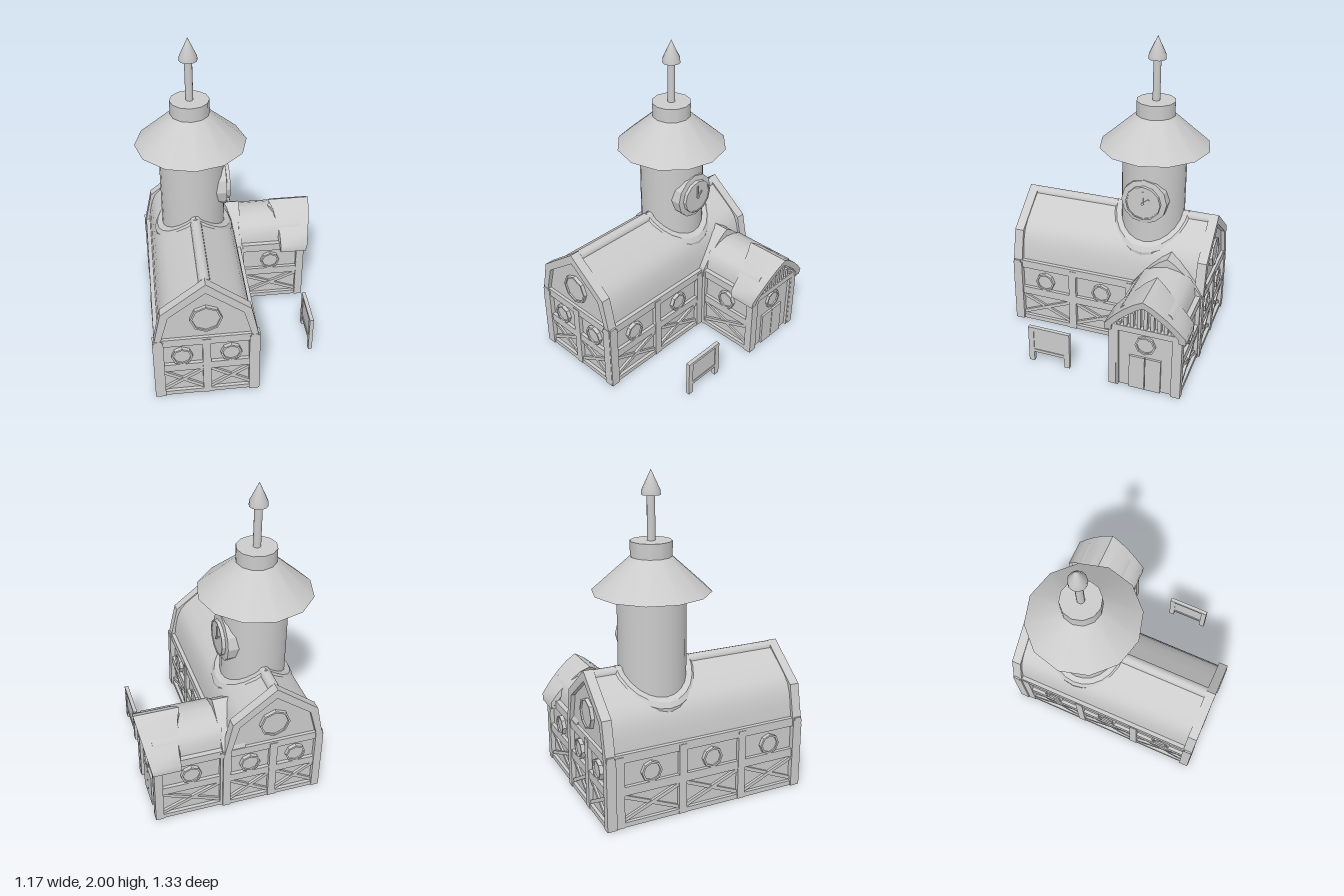
import * as THREE from 'three';
import { toCreasedNormals } from 'three/addons/utils/BufferGeometryUtils.js';

const flat = new THREE.MeshStandardMaterial({ color: 0xcccccc, flatShading: true, side: THREE.DoubleSide });
const smooth = new THREE.MeshStandardMaterial({ color: 0xcccccc, side: THREE.DoubleSide });
const CX = -0.232, TZ = -0.215, AZ = -0.412; // barn axis, tower depth, annex axis
const POST = 0.05;

function add(parent, name, geo, x = 0, y = 0, z = 0, mat = flat) {
  const m = new THREE.Mesh(geo, mat);
  m.name = name;
  m.position.set(x, y, z);
  parent.add(m);
  return m;
}

// box given by its min and max corners
function box(parent, name, x0, x1, y0, y1, z0, z1) {
  return add(parent, name, new THREE.BoxGeometry(x1 - x0, y1 - y0, z1 - z0),
    (x0 + x1) / 2, (y0 + y1) / 2, (z0 + z1) / 2);
}

function lathe(points, sides) {
  return new THREE.LatheGeometry(points.map(p => new THREE.Vector2(...p)), sides);
}

// symmetric outline from its right half, listed from eave to peak
function outline(half) {
  const left = half.filter(p => p[0] > 0).map(p => [-p[0], p[1]]).reverse();
  return [...half, ...left].map(p => new THREE.Vector2(p[0], p[1]));
}

function extrude(points, depth) {
  return new THREE.ExtrudeGeometry(new THREE.Shape(points), { depth, bevelEnabled: false });
}

// arched shell between two half profiles
function shell(outer, inner, depth) {
  return extrude([...outline(outer), ...outline(inner).reverse()], depth);
}

// octagonal porthole facing +z
function porthole(parent, x, y, r) {
  const g = lathe([[r, -0.04], [r, -0.004], [r - 0.012, -0.004], [r - 0.012, -0.014], [0, -0.014]], 8);
  add(parent, 'window', g.rotateX(Math.PI / 2), x, y, 0);
}

// timbered wall facing +z, its outer face on local z = 0
function facade(parent, name, w, bays, x, z, turn) {
  const g = new THREE.Group();
  g.name = name;
  g.position.set(x, 0, z);
  g.rotation.y = turn;
  parent.add(g);
  const step = (w - POST) / bays, h = w / 2;
  box(g, 'wall', -h, h, 0.01, 0.46, -0.034, -0.028);
  for (const [y0, y1] of [[0, 0.03], [0.203, 0.258], [0.41, 0.465]])
    box(g, 'beam', -h, h, y0, y1, -0.05, -0.006);
  for (let i = 0; i <= bays; i++) {
    const px = -h + POST / 2 + i * step;
    box(g, 'post', px - POST / 2, px + POST / 2, 0, 0.45, -0.06, -0.002);
    if (i === bays) break;
    const cx = px + step / 2, bw = step - POST;
    porthole(g, cx, 0.32, 0.065);
    // the braces show on both faces of the wall
    for (const s of [-1, 1]) {
      const b = add(g, 'brace', new THREE.BoxGeometry(Math.hypot(bw, 0.15), 0.022, 0.034), cx, 0.118, -0.03 + s * 0.002);
      b.rotation.z = s * Math.atan2(0.15, bw);
    }
  }
  return g;
}

// end wall with a gambrel frame running down to the ground
function gableEnd(parent, name, z, turn) {
  const g = facade(parent, name, 0.65, 2, CX, z, turn);
  const out = [[0.325, 0], [0.325, 0.41], [0.27, 0.67], [0, 0.88]];
  const inn = [[0.275, 0], [0.275, 0.46], [0.225, 0.645], [0, 0.815]];
  add(g, 'gableFrame', shell(out, inn, 0.06), 0, 0, -0.06);
  add(g, 'gablePanel', extrude(outline([[0.3, 0.44], [0.25, 0.66], [0, 0.85]]), 0.01), 0, 0, -0.036);
  porthole(g, 0, 0.61, 0.097);
}

function barn(root) {
  gableEnd(root, 'frontGable', 0.66, 0);
  gableEnd(root, 'backGable', -0.65, Math.PI);
  facade(root, 'leftWall', 1.25, 3, CX + 0.32, 0.0375, Math.PI / 2);
  facade(root, 'rightWall', 1.25, 3, CX - 0.32, 0.0375, -Math.PI / 2);
  const out = [[0.288, 0.465], [0.28, 0.54], [0.265, 0.61], [0.24, 0.67], [0.2, 0.715], [0.12, 0.777], [0, 0.865]];
  const inn = out.map(([x, y]) => [Math.max(x - 0.02, 0), y - 0.02]);
  inn[0][1] = 0.465;
  add(root, 'barnRoof', toCreasedNormals(shell(out, inn, 1.22), 0.7), CX, 0, -0.605, smooth);
  add(root, 'ridgeCap', new THREE.CylinderGeometry(0.035, 0.035, 1.19, 12).rotateX(Math.PI / 2), CX, 0.84, 0.005, smooth);
}

function tower(root) {
  const g = new THREE.Group();
  g.name = 'tower';
  g.position.set(CX, 0, TZ);
  root.add(g);
  add(g, 'towerShaft', new THREE.CylinderGeometry(0.205, 0.205, 0.69, 24, 1, true), 0, 0.965, 0, smooth);
  add(g, 'towerRoof', new THREE.CylinderGeometry(0.123, 0.352, 0.205, 12), 0, 1.4075, 0, smooth);
  add(g, 'roofCap', new THREE.CylinderGeometry(0.123, 0.123, 0.1, 12), 0, 1.55, 0, smooth);
  add(g, 'pole', new THREE.CylinderGeometry(0.024, 0.024, 0.27, 12), 0, 1.73, 0, smooth);
  const finial = lathe([[0, 1.858], [0.056, 1.858], [0.054, 1.885], [0, 2]], 12);
  add(g, 'finial', toCreasedNormals(finial, 1.3), 0, 0, 0, smooth);
  // raised rim that follows the roof slope around the shaft
  const rim = lathe([[0.2, -0.03], [0.252, -0.03], [0.256, 0.01], [0.24, 0.03], [0.2, 0.022]], 24);
  const p = rim.attributes.position;
  for (let i = 0; i < p.count; i++)
    p.setY(i, p.getY(i) + 0.852 - 0.78 * Math.abs(p.getX(i)));
  add(g, 'towerRim', rim);
  // clock facing +x
  const clock = new THREE.Group();
  clock.name = 'clock';
  clock.position.set(0.235, 1, 0);
  clock.rotation.y = Math.PI / 2;
  g.add(clock);
  const ring = [[0.148, -0.15], [0.148, -0.025], [0.113, -0.02], [0.113, 0.002], [0.105, 0.002], [0.105, -0.003], [0, -0.003]];
  add(clock, 'clockBody', lathe(ring, 12).rotateX(Math.PI / 2));
  [[0.08, 0], [0.05, -0.9]].forEach(([len, a]) => {
    const hand = add(clock, 'clockHand', new THREE.BoxGeometry(0.01, len, 0.008).translate(0, len / 2, 0));
    hand.rotation.z = a;
  });
  add(clock, 'clockPin', new THREE.CylinderGeometry(0.009, 0.009, 0.02, 8).rotateX(Math.PI / 2));
}

function annex(root) {
  const g = new THREE.Group();
  g.name = 'annex';
  g.position.z = AZ;
  root.add(g);
  facade(g, 'annexFrontWall', 0.465, 1, 0.291, 0.228, 0);
  facade(g, 'annexBackWall', 0.465, 1, 0.291, -0.228, Math.PI);
  // roof and the collar where it meets the barn
  const roof = [[0.19, 0.465], [0.18, 0.53], [0.15, 0.58], [0.08, 0.617], [0, 0.632]];
  const under = roof.map(([x, y]) => [Math.max(x - 0.02, 0), y - 0.02]);
  under[0][1] = 0.465;
  const turn = geo => geo.rotateY(Math.PI / 2);
  add(g, 'annexRoof', toCreasedNormals(turn(shell(roof, under, 0.43)), 0.7), 0.08, 0, 0, smooth);
  const outer = [[0.252, 0.41], [0.252, 0.455], [0.195, 0.525], [0.13, 0.592], [0.06, 0.65], [0, 0.685]];
  const inner = [[0.21, 0.41], [0.205, 0.45], [0.155, 0.51], [0.1, 0.56], [0.045, 0.608], [0, 0.636]];
  const collar = shell(outer.map(([x, y]) => [x * 0.92, y + 0.004]), inner.map(([x, y]) => [x * 0.92, y]), 0.145);
  add(g, 'roofCollar', toCreasedNormals(turn(collar), 0.7), -0.05, 0, 0, smooth);
  // overhanging hood, leaning out toward its peak
  const hood = turn(shell(outer, inner, 1));
  const p = hood.attributes.position;
  for (let i = 0; i < p.count; i++) {
    const y = p.getY(i), front = p.getX(i) > 0.5;
    const back = 0.36 - 0.06 * Math.max(0, 1 - Math.abs(p.getZ(i)) / 0.13);
    p.setX(i, front ? 0.535 + (y - 0.41) * 0.185 : back);
  }
  add(g, 'porchHood', toCreasedNormals(hood, 0.7), 0, 0, 0, smooth);
  // entrance side
  const e = new THREE.Group();
  e.name = 'entrance';
  e.position.x = 0.525;
  e.rotation.y = Math.PI / 2;
  g.add(e);
  box(e, 'entranceWall', -0.22, 0.22, 0, 0.45, -0.034, -0.02);
  box(e, 'lintel', -0.22, 0.22, 0.41, 0.45, -0.04, 0);
  for (const s of [-1, 1]) {
    box(e, 'post', s * 0.205 - 0.023, s * 0.205 + 0.023, 0, 0.43, -0.05, 0);
    box(e, 'door', s * 0.051 - 0.049, s * 0.051 + 0.049, 0, 0.237, -0.03, -0.006);
  }
  porthole(e, 0, 0.33, 0.065);
  add(e, 'gablePanel', extrude(outline([[0.2, 0.44], [0.1, 0.565], [0, 0.64]]), 0.015), 0, 0, -0.05);
  for (let i = -4; i <= 4; i++) {
    const x = i * 0.042;
    box(e, 'slat', x - 0.011, x + 0.011, 0.44, 0.625 - Math.abs(x) * 0.92, -0.037, -0.005);
  }
}

function signBoard(root) {
  const g = new THREE.Group();
  g.name = 'signBoard';
  root.add(g);
  for (const z of [0.112, 0.355]) box(g, 'leg', 0.465, 0.49, 0, 0.255, z - 0.018, z + 0.018);
  box(g, 'board', 0.47, 0.485, 0.075, 0.245, 0.12, 0.35);
  for (const y of [0.07, 0.235]) box(g, 'rail', 0.465, 0.49, y, y + 0.02, 0.12, 0.35);
}

export function createModel() {
  const root = new THREE.Group();
  root.name = 'barnWithTower';
  barn(root);
  tower(root);
  annex(root);
  signBoard(root);
  return root;
}
